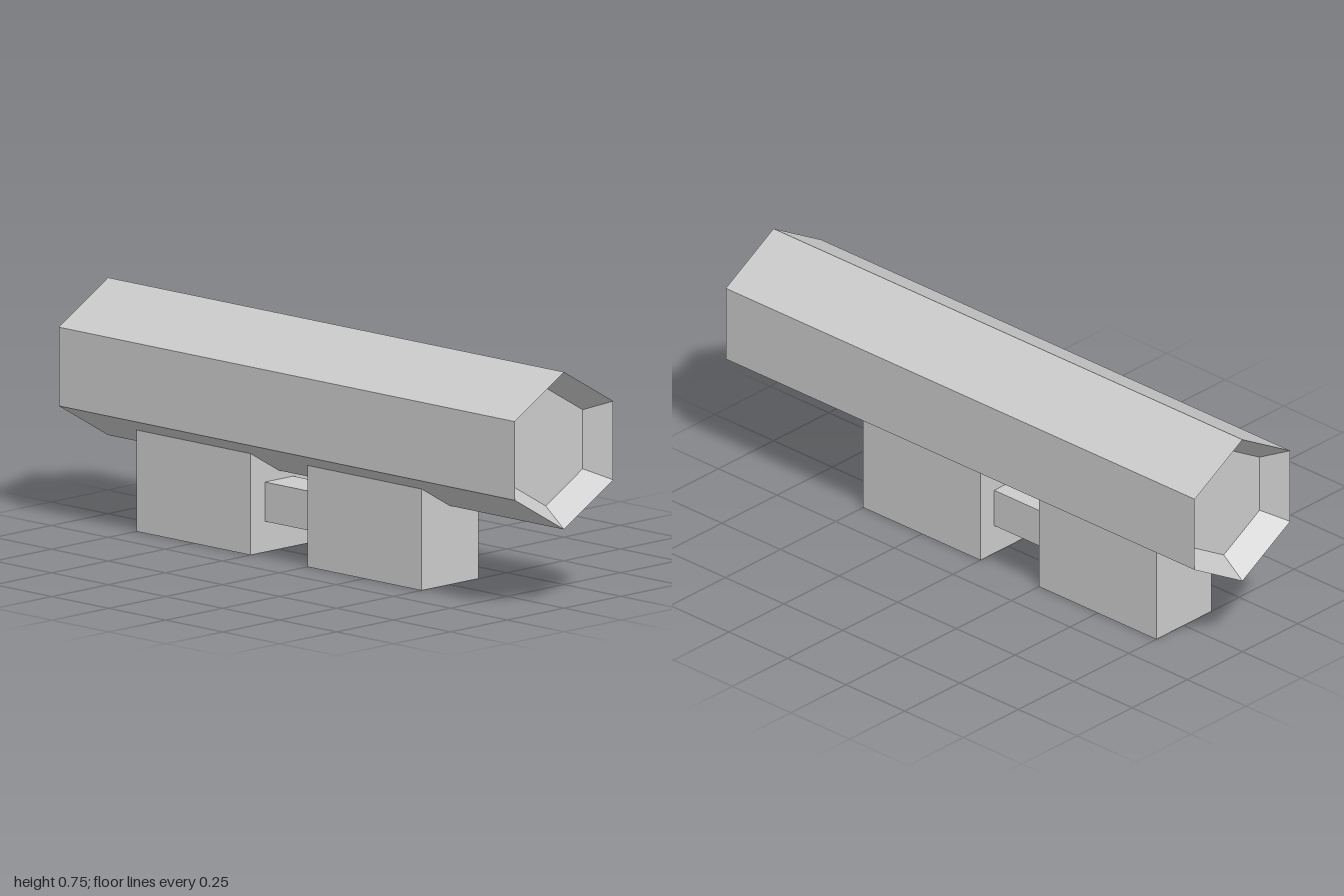
import * as THREE from 'three';

const material = new THREE.MeshStandardMaterial({ color: 0xcccccc, flatShading: true });

export function createModel() {
  const model = new THREE.Group();

  function add(name, geometry, x, y, z) {
    const mesh = new THREE.Mesh(geometry, material);
    mesh.name = name;
    mesh.position.set(x, y, z);
    model.add(mesh);
  }

  // Hexagonal tube with a tapered recess at each end
  const profile = [
    [0, -0.92], [0.1875, -0.92], [0.25, -1],
    [0.25, 1], [0.1875, 0.92], [0, 0.92],
  ].map(([r, h]) => new THREE.Vector2(r, h));
  const tube = new THREE.LatheGeometry(profile, 6).rotateX(Math.PI / 2);
  add('tube', tube, 0, 0.5, 0);

  // Mounting blocks, sunk into the underside of the tube
  const block = new THREE.BoxGeometry(0.25, 0.375, 0.5);
  add('frontMount', block, 0, 0.1875, 0.25);
  add('rearMount', block, 0, 0.1875, -0.5);

  // Small bar joining the two mounts
  add('connector', new THREE.BoxGeometry(0.125, 0.125, 0.25), 0, 0.16, -0.125);

  return model;
}
